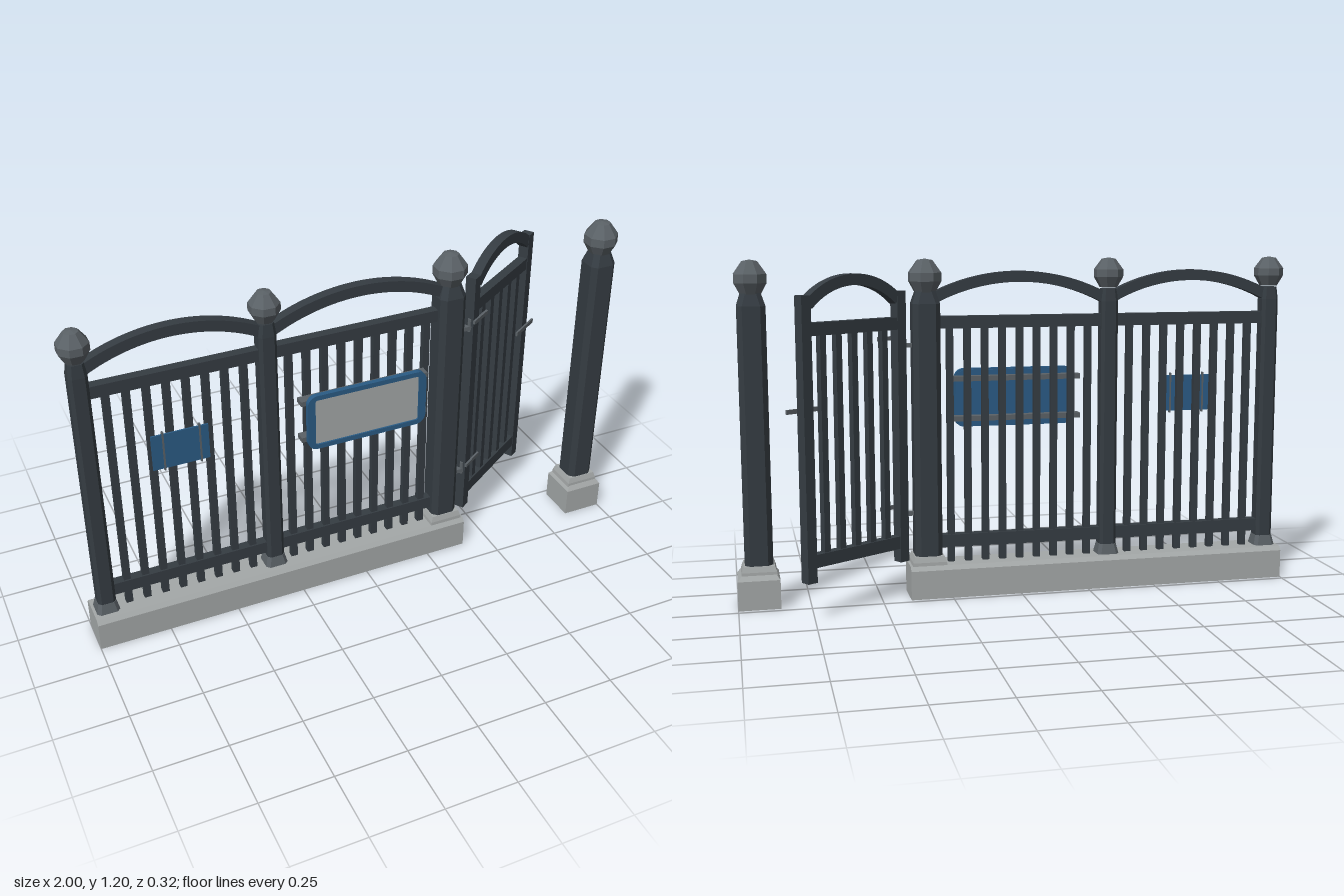
import * as THREE from 'three';

const mat = (name, color) => Object.assign(new THREE.MeshStandardMaterial({ color, flatShading: true }), { name });

// Chamfered-square column lofted through levels [y, halfX, halfZ, chamfer]
function loft(levels) {
  const ring = ([y, a, b, c]) => {
    const p = c > 0
      ? [[a, b - c], [a, c - b], [a - c, -b], [c - a, -b], [-a, c - b], [-a, b - c], [c - a, b], [a - c, b]]
      : [[a, b], [a, -b], [-a, -b], [-a, b]];
    return p.map(([x, z]) => [x, y, z]);
  };
  const rings = levels.map(ring), n = rings[0].length, pos = [];
  const tri = (...pts) => pts.forEach(p => pos.push(...p));
  for (let k = 0; k + 1 < rings.length; k++) {
    for (let i = 0; i < n; i++) {
      const j = (i + 1) % n, lo = rings[k], hi = rings[k + 1];
      tri(lo[i], lo[j], hi[j]);
      tri(lo[i], hi[j], hi[i]);
    }
  }
  const bottom = rings[0], top = rings[rings.length - 1];
  for (let i = 1; i + 1 < n; i++) {
    tri(top[0], top[i], top[i + 1]);
    tri(bottom[0], bottom[i + 1], bottom[i]);
  }
  const g = new THREE.BufferGeometry();
  g.setAttribute('position', new THREE.Float32BufferAttribute(pos, 3));
  g.computeVertexNormals();
  return g;
}

// Arc-shaped bar of chord len, centred on x = 0, with its crown at y = peak
function archGeometry(len, peak, rise, thick, depth) {
  const R = (len * len / 4 + rise * rise) / (2 * rise), half = Math.asin(len / 2 / R);
  const s = new THREE.Shape();
  s.absarc(0, peak - R, R, Math.PI / 2 - half, Math.PI / 2 + half, false);
  s.absarc(0, peak - R, R - thick, Math.PI / 2 + half, Math.PI / 2 - half, true);
  return new THREE.ExtrudeGeometry(s, { depth, bevelEnabled: false, curveSegments: 16 }).translate(0, 0, -depth / 2);
}

function roundedRect(w, h, r, Type = THREE.Shape) {
  const s = new Type(), a = w / 2 - r, b = h / 2 - r;
  s.absarc(a, b, r, 0, Math.PI / 2);
  s.absarc(-a, b, r, Math.PI / 2, Math.PI);
  s.absarc(-a, -b, r, Math.PI, Math.PI * 1.5);
  s.absarc(a, -b, r, Math.PI * 1.5, Math.PI * 2);
  s.closePath();
  return s;
}

export function createModel() {
  const root = new THREE.Group();
  root.name = 'fenceWithGate';
  const iron = mat('darkIron', 0x353c42);
  const metal = mat('greyMetal', 0x5a6166);
  const concrete = mat('concrete', 0xa4a8a8);
  const blue = mat('bluePaint', 0x2a5b85);
  const Z = 0.09;

  const add = (parent, name, geo, material, x = 0, y = 0, z = 0) => {
    const m = new THREE.Mesh(geo, material);
    m.name = name;
    m.position.set(x, y, z);
    parent.add(m);
    return m;
  };
  // Box given by its x, y and z extents
  const box = (parent, name, material, x0, x1, y0, y1, z0, z1) =>
    add(parent, name, new THREE.BoxGeometry(x1 - x0, y1 - y0, z1 - z0), material,
      (x0 + x1) / 2, (y0 + y1) / 2, (z0 + z1) / 2);

  // Concrete footings
  add(root, 'longFooting', loft([[0, 0.7, 0.07, 0], [0.103, 0.7, 0.07, 0], [0.118, 0.7, 0.058, 0]]), concrete, -0.3, 0, Z);
  add(root, 'gatePierFooting', loft([[0, 0.0725, 0.07, 0], [0.103, 0.0725, 0.07, 0], [0.12, 0.06, 0.058, 0]]), concrete, 0.9275, 0, Z);

  // Posts with faceted ball finials
  function post(x, big) {
    const g = new THREE.Group();
    g.name = big ? 'gatePost' : 'fencePost';
    g.position.set(x, 0, Z);
    root.add(g);
    const h = big ? 0.0485 : 0.031, c = big ? 0.018 : 0.011, k = big ? 0.055 : 0.049;
    if (big) {
      add(g, 'plinth', loft([[0.115, 0.062, 0.058, 0], [0.13, 0.06, 0.057, 0], [0.15, 0.053, 0.051, 0]]), concrete);
    } else {
      add(g, 'postShoe', loft([[0.115, 0.041, 0.041, 0.012], [0.155, 0.032, 0.032, 0.011]]), metal);
    }
    const neck = big ? 0.034 : 0.026;
    add(g, 'shaft', loft([[0.12, h, h, c], [1.045, h, h, c], [1.09, neck, neck, c * 0.9]]), iron);
    const f = k / 0.055 / Math.cos(Math.PI / 8);
    const profile = [[0, 1.08], [0.033, 1.08], [0.055, 1.122], [0.055, 1.152], [0.026, 1.195], [0, 1.2]]
      .map(([r, y]) => new THREE.Vector2(r * f, 1.2 - (1.2 - y) * (big ? 1 : 0.88)));
    add(g, 'finial', new THREE.LatheGeometry(profile, 8).rotateY(Math.PI / 8), metal);
  }
  post(-0.95, false);
  post(-0.335, false);
  post(0.33, true);
  post(0.925, true);

  // Fence panels: rails, pickets and arch
  function panel(parent, name, x0, x1, z, o) {
    const g = new THREE.Group();
    g.name = name;
    parent.add(g);
    box(g, 'topRail', iron, x0, x1, 0.957, 1.0, z - 0.017, z + 0.017);
    box(g, 'bottomRail', iron, x0, x1, o.rail, o.rail + 0.045, z - 0.017, z + 0.017);
    for (let i = 0; i < o.count; i++) {
      const x = o.mid + (i - (o.count - 1) / 2) * o.step;
      box(g, 'picket', iron, x - 0.012, x + 0.012, o.foot, 0.97, z - 0.011, z + 0.011);
    }
    add(g, 'arch', archGeometry(x1 - x0, 1.155, o.rise, 0.038, 0.036), iron, (x0 + x1) / 2, 0, z);
  }
  panel(root, 'leftPanel', -0.95, -0.335, Z, { rail: 0.173, count: 8, mid: -0.6425, step: 0.065, foot: 0.116, rise: 0.08 });
  panel(root, 'middlePanel', -0.335, 0.33, Z, { rail: 0.173, count: 9, mid: -0.007, step: 0.063, foot: 0.116, rise: 0.085 });

  // Open gate leaf, swung backwards on its hinges
  const gate = new THREE.Group();
  gate.name = 'gate';
  gate.position.set(0.425, 0, 0.085);
  gate.rotation.y = 0.575;
  root.add(gate);
  const L = 0.405;
  panel(gate, 'gateLeaf', 0, L, 0, { rail: 0.18, count: 5, mid: L / 2, step: 0.066, foot: 0.19, rise: 0.08 });
  for (const x of [0, L]) box(gate, 'stile', iron, x - 0.019, x + 0.019, 0.13, 1.09, -0.019, 0.019);
  box(gate, 'latch', metal, 0.335, 0.465, 0.703, 0.718, 0.019, 0.026);
  for (const y of [0.925, 0.325]) {
    box(gate, 'hingeStrap', metal, -0.02, 0.075, y - 0.007, y + 0.007, 0.017, 0.026);
    box(root, 'hingeBracket', metal, 0.37, 0.425, y - 0.033, y - 0.018, 0.085, 0.105);
    const pin = new THREE.CylinderGeometry(0.007, 0.007, 0.05, 8);
    add(root, 'hingePin', pin, metal, 0.412, y - 0.015, 0.098);
  }

  // Small blue plate on the left panel
  box(root, 'smallPlate', blue, -0.745, -0.55, 0.637, 0.768, 0.102, 0.108);
  for (const x of [-0.705, -0.58]) box(root, 'plateClip', metal, x - 0.003, x + 0.003, 0.63, 0.777, 0.1, 0.111);

  // Large board with rounded frame on two mounting bars
  const rim = roundedRect(0.44, 0.21, 0.035);
  rim.holes.push(roundedRect(0.385, 0.175, 0.008, THREE.Path));
  add(root, 'boardFrame', new THREE.ExtrudeGeometry(rim, { depth: 0.018, bevelEnabled: false, curveSegments: 4 }), blue, 0, 0.703, 0.14);
  add(root, 'boardBack', new THREE.ExtrudeGeometry(roundedRect(0.43, 0.2, 0.033), { depth: 0.008, bevelEnabled: false, curveSegments: 4 }), blue, 0, 0.703, 0.136);
  box(root, 'boardFace', concrete, -0.193, 0.193, 0.615, 0.791, 0.144, 0.152);
  for (const y of [0.775, 0.632]) {
    box(root, 'mountingBar', metal, -0.235, 0.235, y - 0.009, y + 0.009, 0.101, 0.137);
  }
  return root;
}
